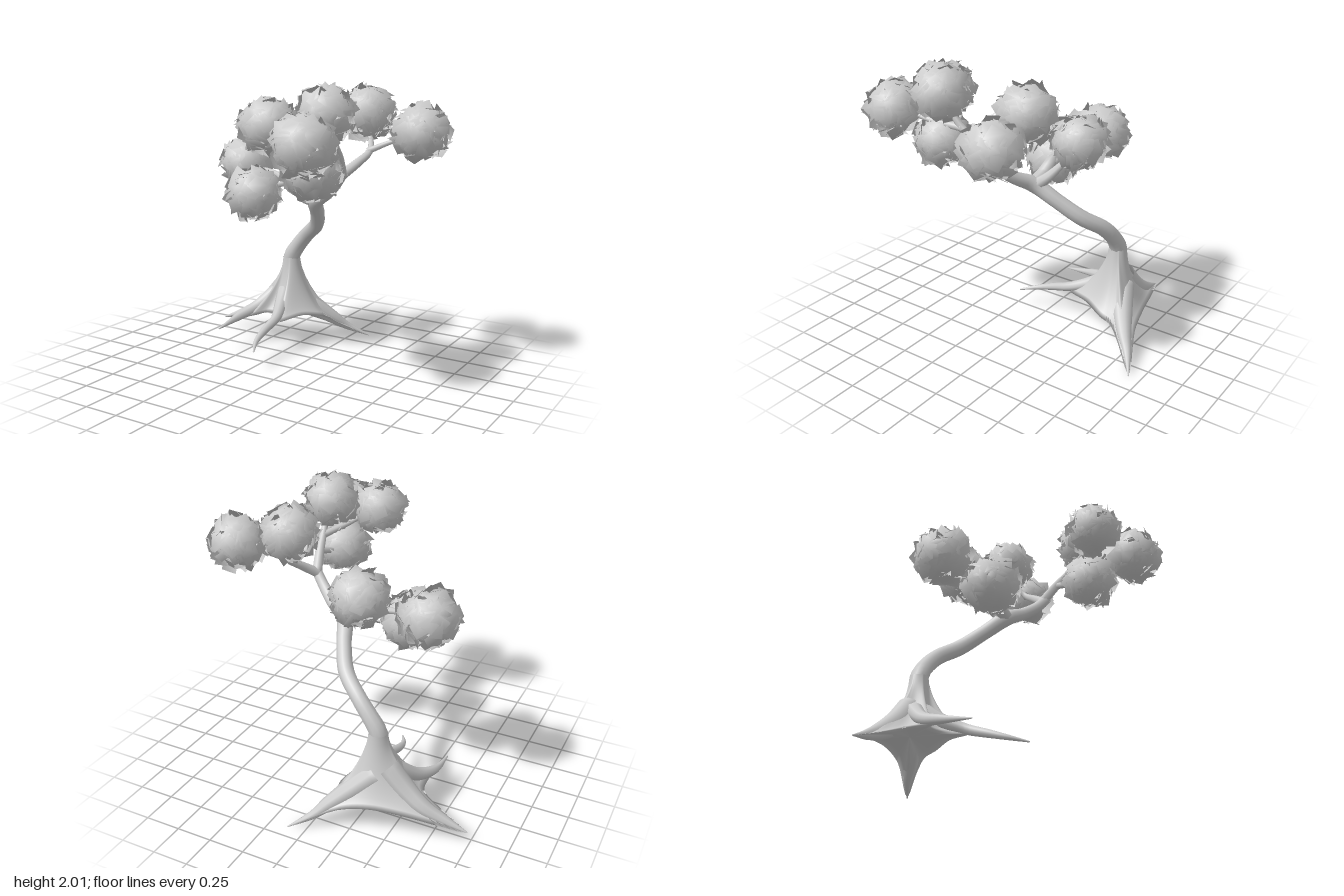
import * as THREE from 'three';

const bark = new THREE.MeshStandardMaterial({ color: 0xcccccc, side: THREE.DoubleSide });
const leaf = new THREE.MeshStandardMaterial({ color: 0xcccccc, side: THREE.DoubleSide });
const V = (p) => new THREE.Vector3(p[0], p[1], p[2]);

// Small seeded random generator
let seed = 7;
const rnd = () => {
  seed = (seed * 16807) % 2147483647;
  return seed / 2147483647;
};

// Tapered limb through points [x, y, z, radius]
function limb(name, pts, seg = 20, sides = 9) {
  const curve = new THREE.CatmullRomCurve3(pts.map(V));
  const geo = new THREE.TubeGeometry(curve, seg, 1, sides);
  const pos = geo.attributes.position;
  const v = new THREE.Vector3();
  for (let i = 0; i <= seg; i++) {
    const c = curve.getPointAt(i / seg);
    const t = curve.getUtoTmapping(i / seg) * (pts.length - 1);
    const k = Math.min(Math.floor(t), pts.length - 2);
    const r = THREE.MathUtils.lerp(pts[k][3], pts[k + 1][3], t - k);
    for (let j = 0; j <= sides; j++) {
      const n = i * (sides + 1) + j;
      v.fromBufferAttribute(pos, n).sub(c).multiplyScalar(r).add(c);
      pos.setXYZ(n, v.x, v.y, v.z);
    }
  }
  geo.computeVertexNormals();
  // Average the normals along the lengthwise seam
  const nor = geo.attributes.normal;
  for (let i = 0; i <= seg; i++) {
    const a = i * (sides + 1), b = a + sides;
    v.fromBufferAttribute(nor, a);
    v.add(new THREE.Vector3().fromBufferAttribute(nor, b)).normalize();
    nor.setXYZ(a, v.x, v.y, v.z);
    nor.setXYZ(b, v.x, v.y, v.z);
  }
  const mesh = new THREE.Mesh(geo, bark);
  mesh.name = name;
  return mesh;
}

// Flared foot: skin from the trunk ring out to a star outline, then under to a hollow
function rootFlare() {
  const outline = new THREE.CatmullRomCurve3([
    [-0.1, 0.23, -0.55], [-0.17, 0.26, -0.4], [-0.27, 0.24, -0.2], [-0.36, 0.25, -0.33],
    [-0.46, 0.25, -0.35], [-0.59, 0.22, -0.24], [-0.63, 0.21, -0.41], [-0.78, 0.15, -0.47],
    [-0.97, 0.08, -0.53], [-0.8, 0.13, -0.61], [-0.6, 0.18, -0.68], [-0.38, 0.2, -0.74],
    [-0.18, 0.16, -0.79], [0.11, 0.015, -0.91], [-0.04, 0.13, -0.73], [-0.09, 0.2, -0.64],
  ].map(V), true, 'centripetal');
  const top = V([-0.35, 0.66, -0.535]), under = V([-0.4, 0.24, -0.55]);
  const N = 80, skin = 10, below = 4, rows = skin + below;
  const pos = [], idx = [];
  for (let i = 0; i <= rows; i++) {
    for (let j = 0; j < N; j++) {
      const o = outline.getPoint(j / N);
      const a = Math.atan2(o.z - under.z, o.x - under.x);
      const p = new THREE.Vector3(top.x + 0.062 * Math.cos(a), top.y, top.z + 0.062 * Math.sin(a));
      if (i <= skin) {
        const t = i / skin, out = t ** 1.55, drop = 1 - (1 - t) ** 1.25;
        p.set(p.x + (o.x - p.x) * out, p.y + (o.y - p.y) * drop, p.z + (o.z - p.z) * out);
      } else {
        p.lerpVectors(o, under, (i - skin) / below);
      }
      pos.push(p.x, p.y, p.z);
      if (i < rows) {
        const q = i * N + j, r = i * N + (j + 1) % N;
        idx.push(q, r, q + N, r, r + N, q + N);
      }
    }
  }
  const geo = new THREE.BufferGeometry();
  geo.setAttribute('position', new THREE.Float32BufferAttribute(pos, 3));
  geo.setIndex(idx);
  geo.computeVertexNormals();
  const mesh = new THREE.Mesh(geo, bark);
  mesh.name = 'rootFlare';
  return mesh;
}

// Leaf ball: square cards spread over a sphere, tilted at random, with radial normals
function leafBall(x, y, z, radius) {
  const pos = [], nor = [], idx = [], count = 140;
  const dummy = new THREE.Object3D();
  for (let i = 0; i < count; i++) {
    const h = 1 - (2 * (i + 0.5)) / count, a = i * 2.39996, s = Math.sqrt(1 - h * h);
    const dir = V([Math.cos(a) * s, h, Math.sin(a) * s]);
    dummy.position.copy(dir).multiplyScalar(radius * (0.87 + 0.16 * rnd()));
    dummy.lookAt(dir.clone().multiplyScalar(2));
    dummy.rotateZ(rnd() * Math.PI * 2);
    dummy.rotateX((rnd() - 0.5) * 1.5);
    dummy.rotateY((rnd() - 0.5) * 1.5);
    dummy.updateMatrix();
    const w = 0.036 + 0.014 * rnd();
    for (const [u, v] of [[-1, -1], [1, -1], [1, 1], [-1, 1]]) {
      const p = V([u * w, v * w, 0]).applyMatrix4(dummy.matrix);
      pos.push(p.x, p.y * 0.95, p.z);
      p.normalize();
      nor.push(p.x, p.y, p.z);
    }
    const b = i * 4;
    idx.push(b, b + 1, b + 2, b, b + 2, b + 3);
  }
  const geo = new THREE.BufferGeometry();
  geo.setAttribute('position', new THREE.Float32BufferAttribute(pos, 3));
  geo.setAttribute('normal', new THREE.Float32BufferAttribute(nor, 3));
  geo.setIndex(idx);
  const mesh = new THREE.Mesh(geo, leaf);
  mesh.position.set(x, y, z);
  mesh.name = 'leafBall';
  return mesh;
}

export function createModel() {
  const tree = new THREE.Group();
  tree.name = 'tree';

  // Leaning trunk
  tree.add(rootFlare(), limb('trunk', [
    [-0.37, 0.54, -0.535, 0.055], [-0.345, 0.67, -0.535, 0.062], [-0.285, 0.76, -0.53, 0.056],
    [-0.19, 0.86, -0.5, 0.053], [-0.06, 0.96, -0.41, 0.053], [0.03, 1.08, -0.27, 0.05],
    [0.1, 1.19, -0.13, 0.055], [0.22, 1.26, -0.07, 0.043], [0.32, 1.34, -0.01, 0.038],
    [0.4, 1.43, 0.03, 0.035],
  ], 36, 10));

  // Roots
  [
    [[-0.42, 0.42, -0.545, 0.085], [-0.55, 0.29, -0.55, 0.075], [-0.68, 0.2, -0.56, 0.058], [-0.83, 0.13, -0.54, 0.035], [-0.98, 0.08, -0.53, 0.004]],
    [[-0.36, 0.38, -0.58, 0.08], [-0.21, 0.25, -0.67, 0.07], [-0.1, 0.16, -0.75, 0.05], [-0.02, 0.09, -0.82, 0.03], [0.12, 0.01, -0.915, 0.004]],
    [[-0.38, 0.42, -0.5, 0.06], [-0.33, 0.33, -0.35, 0.048], [-0.28, 0.27, -0.2, 0.035], [-0.28, 0.22, -0.05, 0.028], [-0.26, 0.18, 0.08, 0.018], [-0.2, 0.15, 0.2, 0.005]],
    [[-0.46, 0.38, -0.48, 0.06], [-0.55, 0.28, -0.35, 0.045], [-0.61, 0.23, -0.18, 0.03], [-0.615, 0.2, 0.04, 0.004]],
  ].forEach((pts) => tree.add(limb('root', pts)));

  // Branches
  [
    [[0.11, 1.19, -0.13, 0.05], [0.0, 1.22, -0.13, 0.048], [-0.1, 1.3, -0.14, 0.035], [-0.28, 1.25, -0.06, 0.015]],
    [[-0.05, 1.26, -0.13, 0.035], [-0.25, 1.34, -0.18, 0.022], [-0.52, 1.38, -0.24, 0.012]],
    [[0.09, 1.19, -0.15, 0.045], [0.06, 1.25, -0.22, 0.035], [-0.08, 1.38, -0.31, 0.015]],
    [[0.38, 1.41, 0.01, 0.035], [0.44, 1.48, -0.08, 0.03], [0.48, 1.56, -0.19, 0.022], [0.42, 1.7, -0.27, 0.012]],
    [[0.47, 1.55, -0.17, 0.022], [0.6, 1.61, -0.25, 0.015], [0.75, 1.66, -0.31, 0.008]],
    [[0.38, 1.41, 0.01, 0.035], [0.41, 1.53, 0.11, 0.032], [0.43, 1.62, 0.2, 0.025], [0.45, 1.76, 0.3, 0.012]],
    [[0.43, 1.61, 0.19, 0.025], [0.32, 1.66, 0.36, 0.02], [0.2, 1.73, 0.5, 0.01]],
    [[0.43, 1.61, 0.19, 0.025], [0.45, 1.62, 0.42, 0.02], [0.48, 1.66, 0.62, 0.01]],
    [[0.41, 1.53, 0.11, 0.025], [0.38, 1.5, 0.22, 0.02], [0.37, 1.48, 0.32, 0.01]],
  ].forEach((pts) => tree.add(limb('branch', pts, 12, 7)));

  // Foliage
  [
    [-0.55, 1.39, -0.25, 0.18], [-0.12, 1.47, -0.34, 0.175], [-0.33, 1.22, -0.01, 0.18],
    [0.16, 1.75, 0.53, 0.168], [0.44, 1.82, 0.34, 0.175], [0.5, 1.67, 0.69, 0.178],
    [0.38, 1.48, 0.39, 0.175], [0.4, 1.79, -0.29, 0.175], [0.78, 1.68, -0.32, 0.178],
  ].forEach((b) => tree.add(leafBall(...b)));

  return tree;
}
